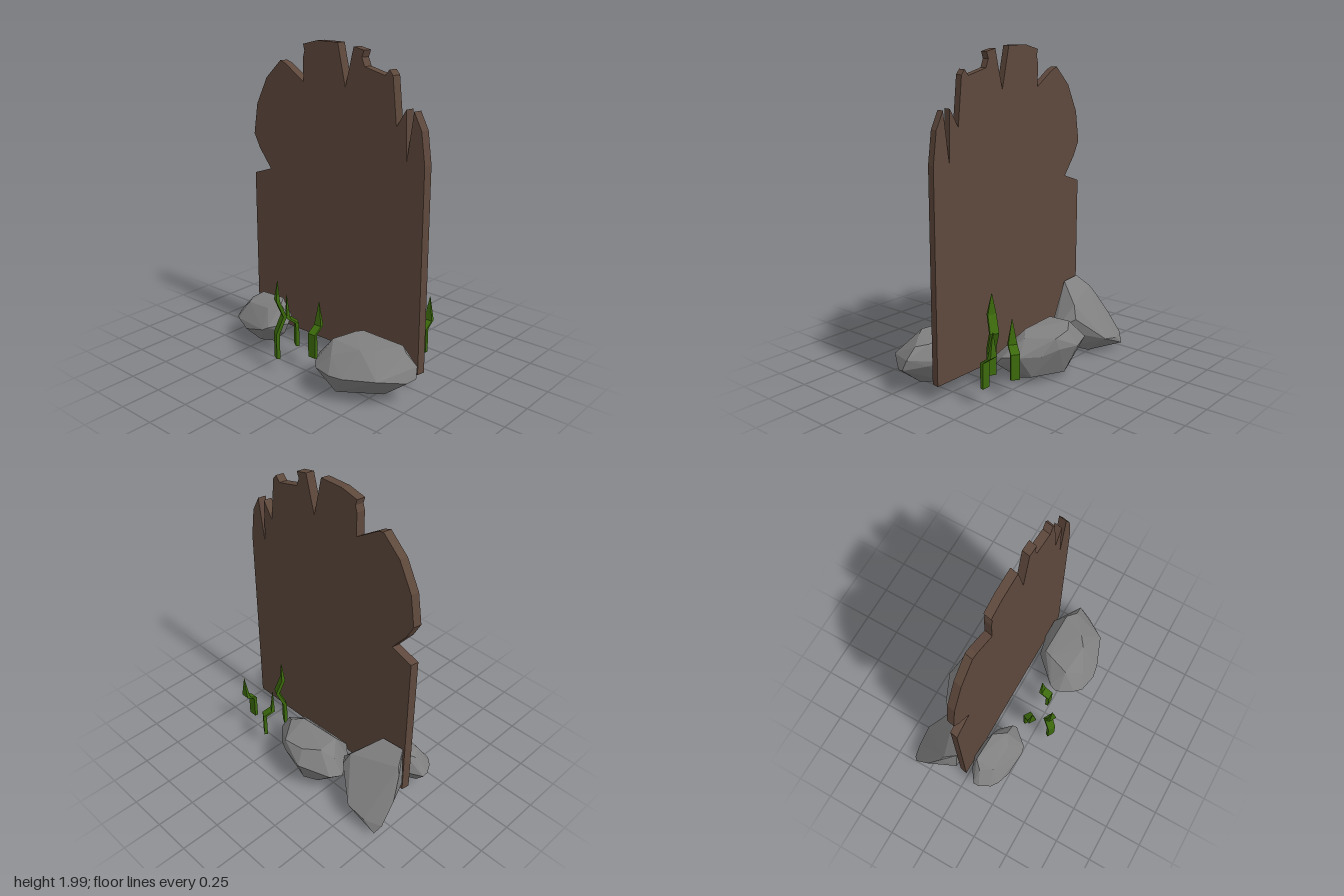
import * as THREE from 'three';
import { ConvexGeometry } from 'three/addons/geometries/ConvexGeometry.js';

const flat = (name, color) => {
  const m = new THREE.MeshStandardMaterial({ color, flatShading: true });
  m.name = name;
  return m;
};

// Faceted boulder: the hull of a few corner points
function rock(name, points, material) {
  const mesh = new THREE.Mesh(new ConvexGeometry(points.map(p => new THREE.Vector3(...p))), material);
  mesh.name = name;
  return mesh;
}

// Grass blade: a thin box whose rows follow a bent path of [y, z, width]
function blade(path, material) {
  const geo = new THREE.BoxGeometry(1, 1, 0.022, 1, path.length - 1, 1);
  const pos = geo.attributes.position;
  for (let i = 0; i < pos.count; i++) {
    const row = Math.round((pos.getY(i) + 0.5) * (path.length - 1));
    const [y, z, w] = path[row];
    const thin = w < 0.01 ? 0.1 : 1;
    pos.setXYZ(i, pos.getX(i) * w, y, pos.getZ(i) * thin + z);
  }
  geo.computeVertexNormals();
  const mesh = new THREE.Mesh(geo, material);
  mesh.name = 'grassBlade';
  return mesh;
}

export function createModel() {
  const model = new THREE.Group();
  model.name = 'brokenBoardWithRocks';
  const wood = flat('brown wood', 0x5e483c);
  const stone = flat('grey stone', 0x808080);
  const green = flat('grass green', 0x3c6a0c);

  // Upright board with a splintered top
  const outline = [
    [-0.667, 0.115], [0.662, 0.115], [0.662, 1.38], [0.635, 1.57], [0.582, 1.67], [0.54, 1.38],
    [0.53, 1.675], [0.465, 1.57], [0.435, 1.85], [0.41, 1.88], [0.38, 1.845], [0.235, 1.88],
    [0.215, 1.93], [0.23, 1.97], [0.155, 1.985], [0.095, 1.75], [0.037, 2], [-0.12, 2],
    [-0.233, 1.972], [-0.222, 1.935], [-0.233, 1.895], [-0.233, 1.75], [-0.38, 1.845], [-0.423, 1.86],
    [-0.545, 1.745], [-0.635, 1.57], [-0.667, 1.375], [-0.62, 1.285], [-0.525, 1.165], [-0.667, 1.115],
  ];
  const shape = new THREE.Shape(outline.map(p => new THREE.Vector2(...p)));
  const boardGeo = new THREE.ExtrudeGeometry(shape, { depth: 0.05, bevelEnabled: false });
  boardGeo.translate(0, 0, -0.05);
  // Slight sideways slant from front to back
  const bp = boardGeo.attributes.position;
  for (let i = 0; i < bp.count; i++) bp.setX(i, bp.getX(i) - bp.getZ(i) * 0.2);
  boardGeo.computeVertexNormals();
  const board = new THREE.Mesh(boardGeo, wood);
  board.name = 'board';
  model.add(board);

  // Boulders: top corners, then the widest ring, then the underside
  model.add(rock('frontLeftRock', [
    [0.24, 0.315, 0.27], [0.46, 0.32, 0.29], [0.53, 0.32, 0.24], [0.61, 0.32, 0.08], [0.31, 0.32, 0.075],
    [0.29, 0.325, 0.125], [0.67, 0.31, 0.13], [0.31, 0.27, 0.37],
    [0.13, 0.185, 0.25], [0.135, 0.19, 0.28], [0.185, 0.19, 0.37], [0.23, 0.18, 0.415], [0.35, 0.18, 0.44],
    [0.435, 0.18, 0.425], [0.63, 0.2, 0.35], [0.735, 0.17, 0.205], [0.757, 0.185, 0.15], [0.745, 0.25, 0.125],
    [0.64, 0.2, 0.055], [0.575, 0.22, 0.005], [0.46, 0.18, 0], [0.31, 0.2, 0.035], [0.145, 0.2, 0.205],
    [0.25, 0.035, 0.22], [0.43, 0.01, 0.21], [0.35, 0.05, 0.375], [0.57, 0.04, 0.2], [0.48, 0.05, 0.07],
  ], stone));
  model.add(rock('frontRightRock', [
    [-0.63, 0.275, 0.09], [-0.585, 0.275, 0.165], [-0.4, 0.29, 0.18], [-0.33, 0.32, 0.13], [-0.385, 0.325, 0.05],
    [-0.58, 0.31, 0.04],
    [-0.71, 0.165, 0.085], [-0.71, 0.17, 0.125], [-0.67, 0.16, 0.195], [-0.625, 0.17, 0.23], [-0.36, 0.18, 0.27],
    [-0.325, 0.2, 0.255], [-0.24, 0.22, 0.155], [-0.25, 0.25, 0.13], [-0.315, 0.22, 0.05], [-0.42, 0.2, 0.01],
    [-0.545, 0.18, 0], [-0.625, 0.18, 0.025], [-0.53, 0.13, 0.255],
    [-0.63, 0.055, 0.12], [-0.5, 0.03, 0.14], [-0.4, 0.04, 0.13], [-0.45, 0.06, 0.2], [-0.5, 0.06, 0.05],
    [-0.27, 0.15, 0.16],
  ], stone));
  model.add(rock('backCentreRock', [
    [-0.21, 0.325, -0.32], [-0.11, 0.31, -0.385], [0.03, 0.3, -0.4], [0.14, 0.3, -0.25], [0.07, 0.325, -0.2],
    [-0.2, 0.325, -0.18], [-0.29, 0.28, -0.28],
    [-0.36, 0.18, -0.28], [-0.33, 0.2, -0.36], [-0.135, 0.22, -0.445], [0.015, 0.23, -0.415], [0.115, 0.2, -0.36],
    [0.215, 0.2, -0.27], [0.255, 0.19, -0.17], [0.255, 0.14, -0.125], [0.2, 0.15, -0.06], [-0.17, 0.16, -0.05],
    [-0.27, 0.17, -0.14],
    [-0.23, 0.06, -0.2], [-0.05, 0.01, -0.26], [0.13, 0.03, -0.2], [-0.1, 0.04, -0.37], [0.08, 0.05, -0.12],
    [-0.2, 0.06, -0.34], [0.13, 0.06, -0.3],
  ], stone));
  model.add(rock('backRightRock', [
    [-0.65, 0.465, -0.06], [-0.5, 0.46, -0.07], [-0.69, 0.4, -0.14], [-0.385, 0.36, -0.235], [-0.715, 0.36, -0.16],
    [-0.355, 0.28, -0.27], [-0.27, 0.21, -0.17], [-0.275, 0.18, -0.125],
    [-0.755, 0.23, -0.245], [-0.76, 0.1, -0.345], [-0.73, 0.04, -0.38], [-0.65, 0.1, -0.385], [-0.52, 0.13, -0.39],
    [-0.65, 0.01, -0.28], [-0.5, 0.03, -0.27], [-0.4, 0.07, -0.2], [-0.67, 0.2, -0.07], [-0.5, 0.1, -0.08],
  ], stone));

  // Grass: a short bent blade and a tall zigzag blade
  const shortPath = [[0.12, 0.03, 0.055], [0.275, 0.03, 0.055], [0.315, -0.025, 0.055], [0.465, -0.03, 0.003]];
  const tallPath = [[0.1, 0.025, 0.053], [0.265, 0.025, 0.053], [0.375, -0.022, 0.055], [0.48, 0.02, 0.053], [0.605, 0.015, 0.003]];
  // Two equal tufts, one on each side of the board
  for (const [name, x, z] of [['frontGrass', 0, 0], ['backGrass', 0.46, -0.51]]) {
    const tuft = new THREE.Group();
    tuft.name = name;
    for (const [path, bx, bz, turn] of [
      [shortPath, 0.052, 0.215, 0], [shortPath, -0.157, 0.21, 2.55], [tallPath, -0.125, 0.34, -0.5],
    ]) {
      const b = blade(path, green);
      b.position.set(bx, 0, bz);
      b.rotation.y = turn;
      tuft.add(b);
    }
    tuft.position.set(x, 0, z);
    model.add(tuft);
  }
  return model;
}
